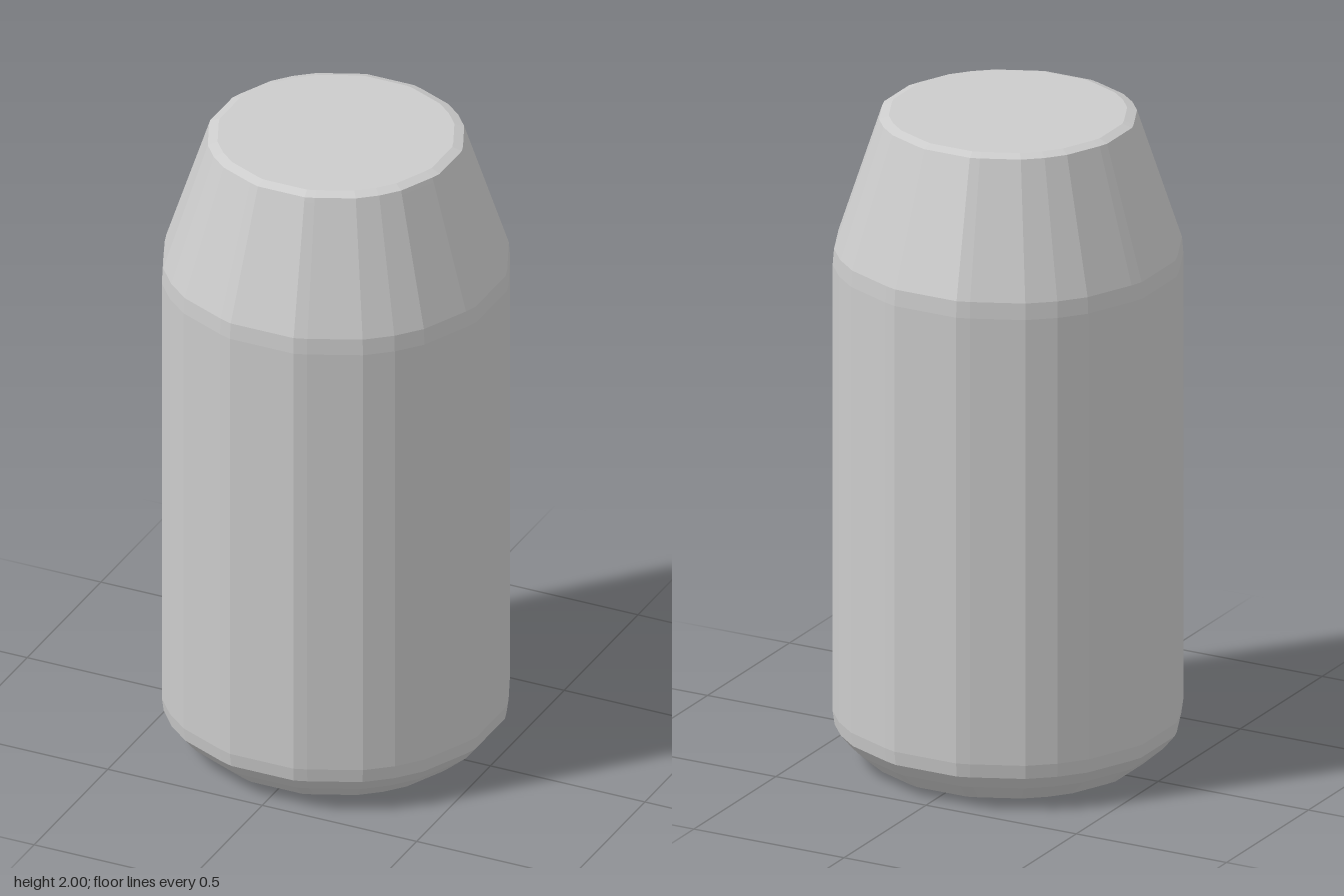
import * as THREE from 'three';

// Uneven facets of one quarter turn: [angle in degrees, radius factor]
const FACETS = [[11.5, 1], [16, 0.993], [34.3, 1], [45, 1], [55.7, 1], [74, 0.993], [78.5, 1]];

// Body outline from the base centre to the lid centre: [radius, height]
const PROFILE = [
  [0, 0], [0.385, 0], [0.412, 0.01], [0.475, 0.065], [0.509, 0.107], [0.515, 0.15],
  [0.515, 1.54], [0.511, 1.59], [0.384, 1.975], [0.379, 1.99], [0.35, 2], [0, 2],
];

export function createModel() {
  const group = new THREE.Group();
  group.name = 'can';

  const sides = FACETS.length * 4;
  const points = PROFILE.map(([r, y]) => new THREE.Vector2(r, y));
  const geometry = new THREE.LatheGeometry(points, sides);

  // Turn each lathe column to its uneven facet angle
  const pos = geometry.attributes.position;
  for (let i = 0; i < pos.count; i++) {
    const column = Math.floor(i / points.length) % sides;
    const [degrees, factor] = FACETS[column % FACETS.length];
    const angle = THREE.MathUtils.degToRad(degrees + 90 * Math.floor(column / FACETS.length));
    const point = points[i % points.length];
    const r = point.x * factor;
    pos.setXYZ(i, r * Math.sin(angle), point.y, r * Math.cos(angle));
  }
  geometry.computeVertexNormals();

  const body = new THREE.Mesh(
    geometry,
    new THREE.MeshStandardMaterial({ color: 0xcccccc, flatShading: true }),
  );
  body.name = 'canBody';
  group.add(body);
  return group;
}
